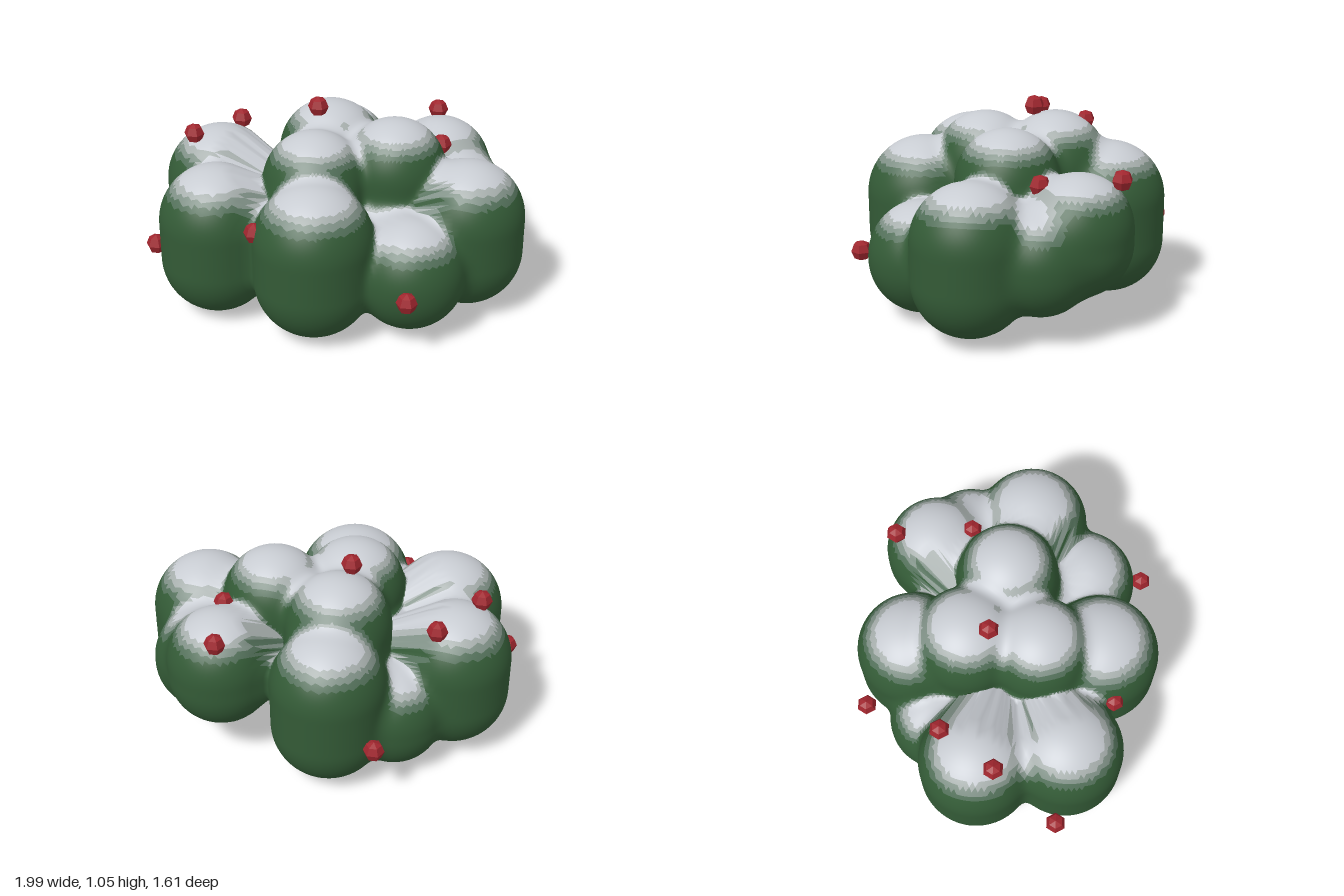
import * as THREE from 'three';
import { mergeVertices } from 'three/addons/utils/BufferGeometryUtils.js';

// Upright rounded lobes of the bush: x, z, radius, bottom y, top y
const LOBES = [
  [-0.6, 0.32, 0.3, 0.0, 0.81],     // front right
  [-0.68, -0.15, 0.3, 0.03, 0.82],  // right side
  [-0.06, 0.49, 0.31, 0.0, 0.82],   // front
  [0.42, 0.39, 0.29, 0.03, 0.62],   // low front left
  [0.69, 0.1, 0.3, 0.03, 0.82],     // left side
  [0.5, -0.41, 0.28, 0.2, 0.83],    // raised back left
  [0.63, -0.24, 0.27, 0.14, 0.7],   // behind the left side
  [-0.08, -0.51, 0.3, 0.0, 0.83],   // back
  [-0.4, -0.37, 0.26, 0.02, 0.58],  // low back right
  [-0.11, 0.16, 0.27, 0.3, 0.96],   // upper front
  [-0.08, -0.22, 0.28, 0.3, 0.98],  // upper back
  [0.29, -0.02, 0.27, 0.3, 0.98],   // upper left
  [0, 0, 0.34, 0.03, 0.72],         // core
  [-0.35, 0.1, 0.3, 0.03, 0.63],    // core right
  [0.3, 0.12, 0.3, 0.03, 0.64],     // core left
];

const BERRIES = [
  [-0.35, 0.35, -0.76], [0.47, 0.8, -0.62], [-0.6, 0.8, -0.33],
  [0.52, 0.77, -0.22], [-0.8, 0.82, -0.05], [-0.13, 1.0, -0.1],
  [-0.95, 0.31, 0.28], [-0.35, 0.58, 0.56], [0.44, 0.34, 0.72],
];

// Colours from foliage to snow, each with the lowest upward slope it covers
const SHADES = [
  ['foliage', -2, 0x335a36],
  ['frostedFoliage', 0.52, 0x53705a],
  ['thinSnow', 0.62, 0x7f9086],
  ['snowEdge', 0.71, 0xa6aeac],
  ['snow', 0.79, 0xc8ccd2],
];

// Distance to all lobes, softly blended where they meet
function distance(p) {
  const blend = 0.06;
  let d = 10;
  for (const [x, z, r, low, high] of LOBES) {
    const y = THREE.MathUtils.clamp(p.y, low + r, Math.max(low + r, high - r));
    const next = Math.hypot(p.x - x, p.y - y, p.z - z) - r;
    const h = Math.max(blend - Math.abs(d - next), 0) / blend;
    d = Math.min(d, next) - h * h * blend / 4;
  }
  return d;
}

// One sphere shrunk from outside onto the blended lobes
function bushGeometry() {
  const sphere = new THREE.IcosahedronGeometry(1, 40);
  sphere.deleteAttribute('normal');
  sphere.deleteAttribute('uv');
  const geometry = mergeVertices(sphere);
  const position = geometry.attributes.position;
  const centre = new THREE.Vector3(0, 0.4, 0);
  const direction = new THREE.Vector3();
  const point = new THREE.Vector3();
  for (let i = 0; i < position.count; i++) {
    direction.fromBufferAttribute(position, i).normalize();
    let t = 1.5;
    for (let step = 0; step < 60; step++) {
      point.copy(centre).addScaledVector(direction, t);
      t -= distance(point);
    }
    point.copy(centre).addScaledVector(direction, t);
    position.setXYZ(i, point.x, point.y, point.z);
  }
  geometry.computeVertexNormals();
  return geometry;
}

export function createModel() {
  const bush = new THREE.Group();
  bush.name = 'snowyBush';

  // Sort the faces by slope: snow lies on the flatter tops
  const surface = bushGeometry();
  const index = surface.index.array;
  const normal = surface.attributes.normal;
  const faces = SHADES.map(() => []);
  for (let i = 0; i < index.length; i += 3) {
    const corners = [index[i], index[i + 1], index[i + 2]];
    const slope = corners.reduce((sum, c) => sum + normal.getY(c), 0) / 3;
    const shade = SHADES.findLastIndex(([, lowest]) => slope >= lowest);
    faces[shade].push(...corners);
  }
  SHADES.forEach(([name, , color], i) => {
    const part = new THREE.BufferGeometry();
    part.setAttribute('position', surface.attributes.position);
    part.setAttribute('normal', normal);
    part.setIndex(faces[i]);
    const mesh = new THREE.Mesh(part, new THREE.MeshStandardMaterial({ color }));
    mesh.name = name;
    bush.add(mesh);
  });

  // Faceted berries
  const red = new THREE.MeshStandardMaterial({ color: 0xa0262e, flatShading: true });
  const berryGeometry = new THREE.SphereGeometry(0.055, 6, 4);
  for (const p of BERRIES) {
    const berry = new THREE.Mesh(berryGeometry, red);
    berry.name = 'berry';
    berry.position.set(...p);
    bush.add(berry);
  }
  return bush;
}
